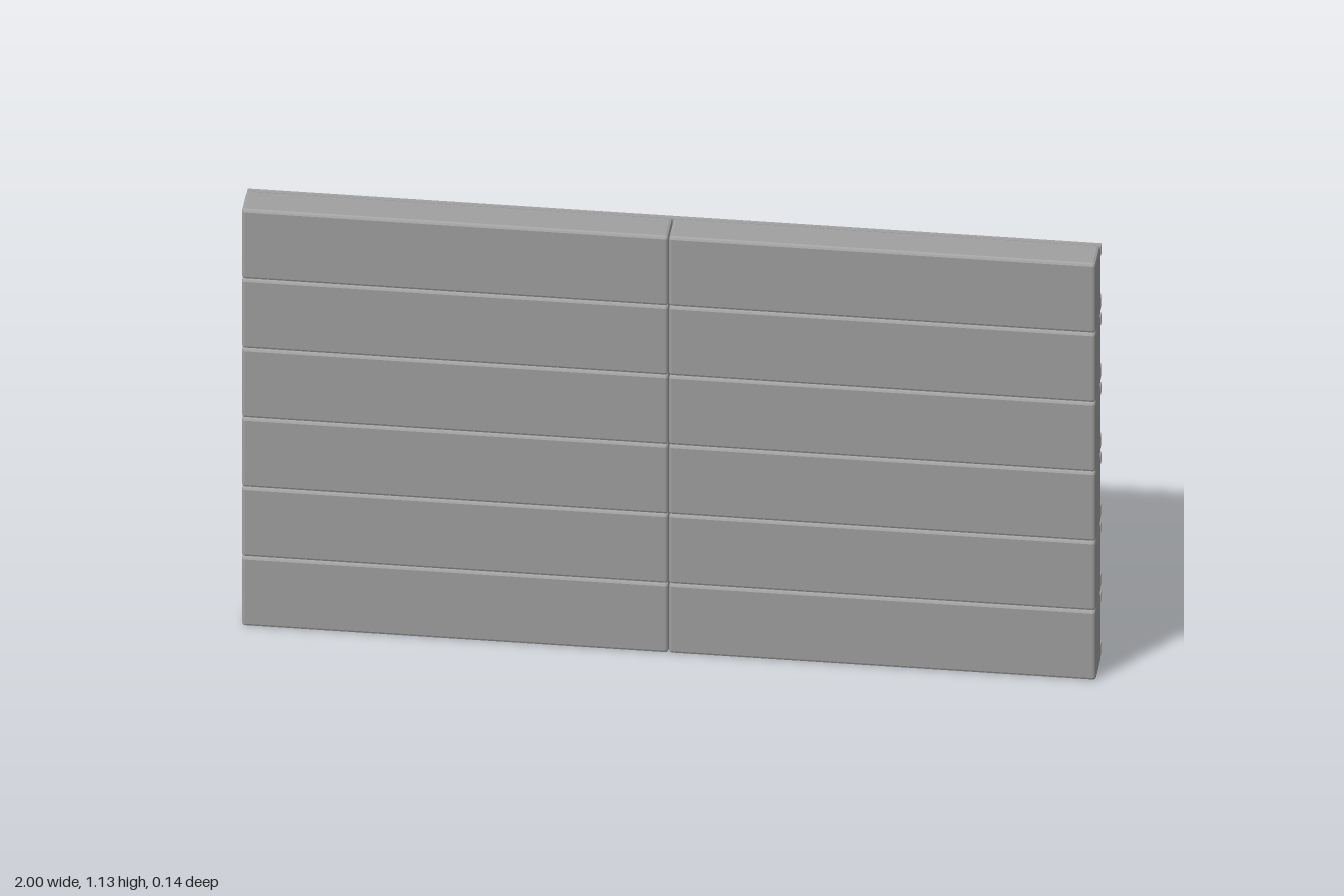
import * as THREE from 'three';
import { RoundedBoxGeometry } from 'three/addons/geometries/RoundedBoxGeometry.js';

export function createModel() {
  const model = new THREE.Group();
  const grey = new THREE.MeshStandardMaterial({ color: 0xa0a0a0 });
  grey.name = 'grey';
  grey.flatShading = true;

  const ROWS = 6, ROW_H = 1.13 / ROWS, HUB_Y = 0.565;

  const add = (name, geometry, x, y, z, parent = model) => {
    const mesh = new THREE.Mesh(geometry, grey);
    mesh.name = name;
    mesh.position.set(x, y, z);
    parent.add(mesh);
    return mesh;
  };

  const boardGeo = new RoundedBoxGeometry(0.999, ROW_H, 0.09, 1, 0.007);
  const lowerRailGeo = new THREE.BoxGeometry(2, 0.032, 0.022);
  const upperRailGeo = new THREE.BoxGeometry(2, 0.025, 0.014);
  const plateGeo = new THREE.BoxGeometry(0.075, 0.075, 0.018);
  const boltGeo = new THREE.CylinderGeometry(0.02, 0.02, 0.013, 8).rotateX(Math.PI / 2);

  // Stacked boards with a rail pair on the back of every row
  for (let i = 0; i < ROWS; i++) {
    const y = (i + 0.5) * ROW_H;
    const endRow = i === 0 || i === ROWS - 1;
    add('lowerRail', lowerRailGeo, 0, y - 0.068, -0.031);
    add('upperRail', upperRailGeo, 0, y + 0.067, -0.044);
    for (const s of [-1, 1]) {
      add('board', boardGeo, s * 0.5, y, 0.025);
      // Corner plates on the end rows, bolts elsewhere
      if (endRow) {
        add('cornerPlate', plateGeo, s * 0.907, y, -0.052);
        add('seamBolt', boltGeo, s * 0.087, y, -0.05);
      } else {
        add('edgeBolt', boltGeo, s * 0.925, y, -0.05);
      }
    }
  }

  // Toothed wheel on the back
  const wheel = new THREE.Group();
  wheel.name = 'wheel';
  wheel.position.y = HUB_Y;
  model.add(wheel);

  const TEETH = 20, step = (Math.PI * 2) / TEETH;
  const outline = [];
  for (let i = 0; i < TEETH; i++) {
    for (const [t, r] of [[-0.24, 0.388], [0, 0.392], [0.24, 0.388], [0.38, 0.37], [0.5, 0.364], [0.62, 0.37]]) {
      const a = (i + t) * step;
      outline.push(new THREE.Vector2(Math.cos(a) * r, Math.sin(a) * r));
    }
  }
  const ringShape = new THREE.Shape(outline);
  ringShape.holes.push(new THREE.Path().absarc(0, 0, 0.25, 0, Math.PI * 2, true));
  const ringGeo = new THREE.ExtrudeGeometry(ringShape, { depth: 0.037, bevelEnabled: false, curveSegments: 32 });
  add('toothedRing', ringGeo, 0, 0, -0.057, wheel);

  // Eight spokes, each in line with a bolt on the ring
  const spokeGeo = new THREE.BoxGeometry(0.22, 0.034, 0.047).translate(0.165, 0, 0);
  for (let i = 0; i < 8; i++) {
    const a = (i + 0.5) * Math.PI / 4;
    add('spoke', spokeGeo, 0, 0, -0.0435, wheel).rotation.z = a;
    add('ringBolt', boltGeo, Math.cos(a) * 0.31, Math.sin(a) * 0.31, -0.0615, wheel);
  }
  add('hubBar', new THREE.BoxGeometry(0.034, 0.115, 0.048), 0, 0, -0.044, wheel);

  return model;
}
